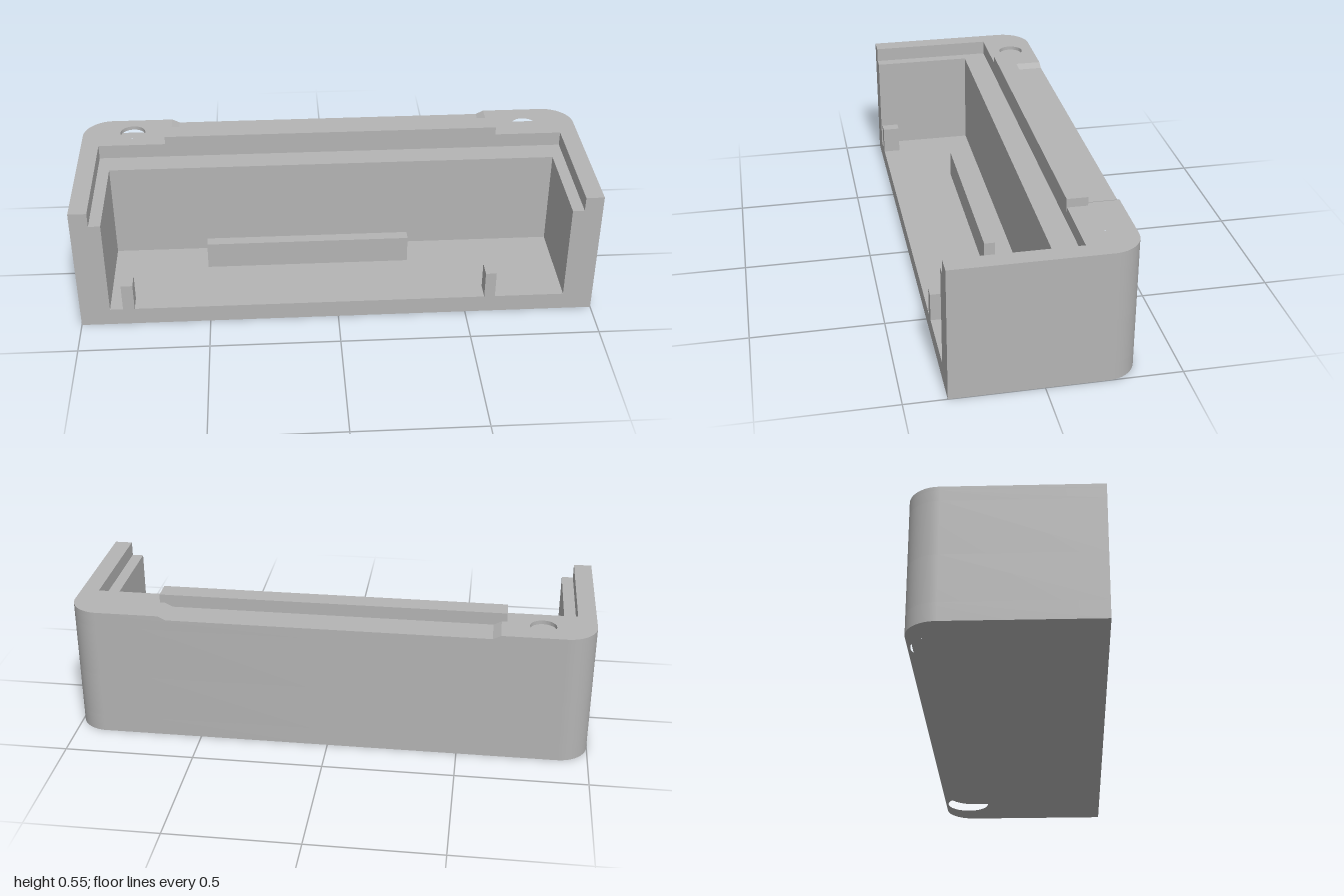
import * as THREE from 'three';
import { toCreasedNormals } from 'three/addons/utils/BufferGeometryUtils.js';

const DEPTH = 0.343, RADIUS = 0.115, HOLE_X = 0.8, HOLE_Z = -0.245;

export function createModel() {
  const group = new THREE.Group();
  const grey = new THREE.MeshStandardMaterial({ color: 0xb4b4b4 });
  grey.name = 'plain grey';

  function add(name, geometry) {
    const mesh = new THREE.Mesh(geometry, grey);
    mesh.name = name;
    group.add(mesh);
  }

  function box(name, x0, x1, y0, y1, z0, z1) {
    const g = new THREE.BoxGeometry(x1 - x0, y1 - y0, z1 - z0);
    add(name, g.translate((x0 + x1) / 2, (y0 + y1) / 2, (z0 + z1) / 2));
  }

  // Rounded back corner on side s, from the back edge to the side; shape y is -z
  function corner(s) {
    const points = [];
    for (let i = 0; i <= 16; i++) {
      const a = Math.PI / 2 * (1 - i / 16);
      points.push(new THREE.Vector2(
        s * (1 - RADIUS + RADIUS * Math.cos(a)), DEPTH - RADIUS + RADIUS * Math.sin(a)));
    }
    return points;
  }

  function slab(name, points, y0, y1, holeRadius, sides) {
    const shape = new THREE.Shape(points);
    for (const s of sides) {
      const hole = new THREE.Path();
      hole.absarc(s * HOLE_X, -HOLE_Z, holeRadius, 0, Math.PI * 2, true);
      shape.holes.push(hole);
    }
    const g = new THREE.ExtrudeGeometry(shape, { depth: y1 - y0, bevelEnabled: false, curveSegments: 24 });
    g.rotateX(-Math.PI / 2).translate(0, y0, 0);
    add(name, toCreasedNormals(g, 0.6));
  }

  // One level of the tray: a full plate, or a U of walls open to the front
  function level(name, y0, y1, holeRadius, innerX, innerZ) {
    const v = (x, z) => new THREE.Vector2(x, -z);
    const points = [...corner(-1).reverse(), ...corner(1), v(1, DEPTH)];
    if (innerX) points.push(v(innerX, DEPTH), v(innerX, innerZ), v(-innerX, innerZ), v(-innerX, DEPTH));
    points.push(v(-1, DEPTH));
    slab(name, points, y0, y1, holeRadius, [-1, 1]);
  }

  // Body: wide screw-head bores below, narrow holes above, stepped rim at the top
  level('floor', 0, 0.07, 0.088);
  level('lowerWalls', 0.07, 0.25, 0.088, 0.885, -0.05);
  level('upperWalls', 0.25, 0.46, 0.05, 0.885, -0.05);
  level('rim', 0.46, 0.502, 0.05, 0.93, -0.145);

  // Raised rim ends with a shallow ramp down to the dip behind the ridge
  for (const s of [-1, 1]) {
    const side = s < 0 ? 'right' : 'left';
    const v = (x, y) => new THREE.Vector2(s * x, y);
    slab(side + 'RimTop', [v(0.645, DEPTH), ...corner(s), v(1, -DEPTH), v(0.93, -DEPTH),
      v(0.93, 0.145), v(0.645, 0.145)], 0.502, 0.517, 0.05, [s]);
    const ramp = new THREE.Shape([v(0.645, 0.502), v(0.645, 0.517), v(0.615, 0.502)]);
    add(side + 'RimRamp', new THREE.ExtrudeGeometry(ramp, { depth: DEPTH - 0.22, bevelEnabled: false })
      .translate(0, 0, -DEPTH));
  }

  // Locating ridge along the back rim
  box('ridge', -0.665, 0.665, 0.502, 0.551, -0.222, -0.143);

  // Supports on the floor
  box('centreRib', -0.51, 0.295, 0.06, 0.18, 0.04, 0.083);
  box('rightPost', -0.835, -0.79, 0.06, 0.18, 0.275, DEPTH);
  box('leftPost', 0.573, 0.615, 0.06, 0.18, 0.275, DEPTH);

  return group;
}
